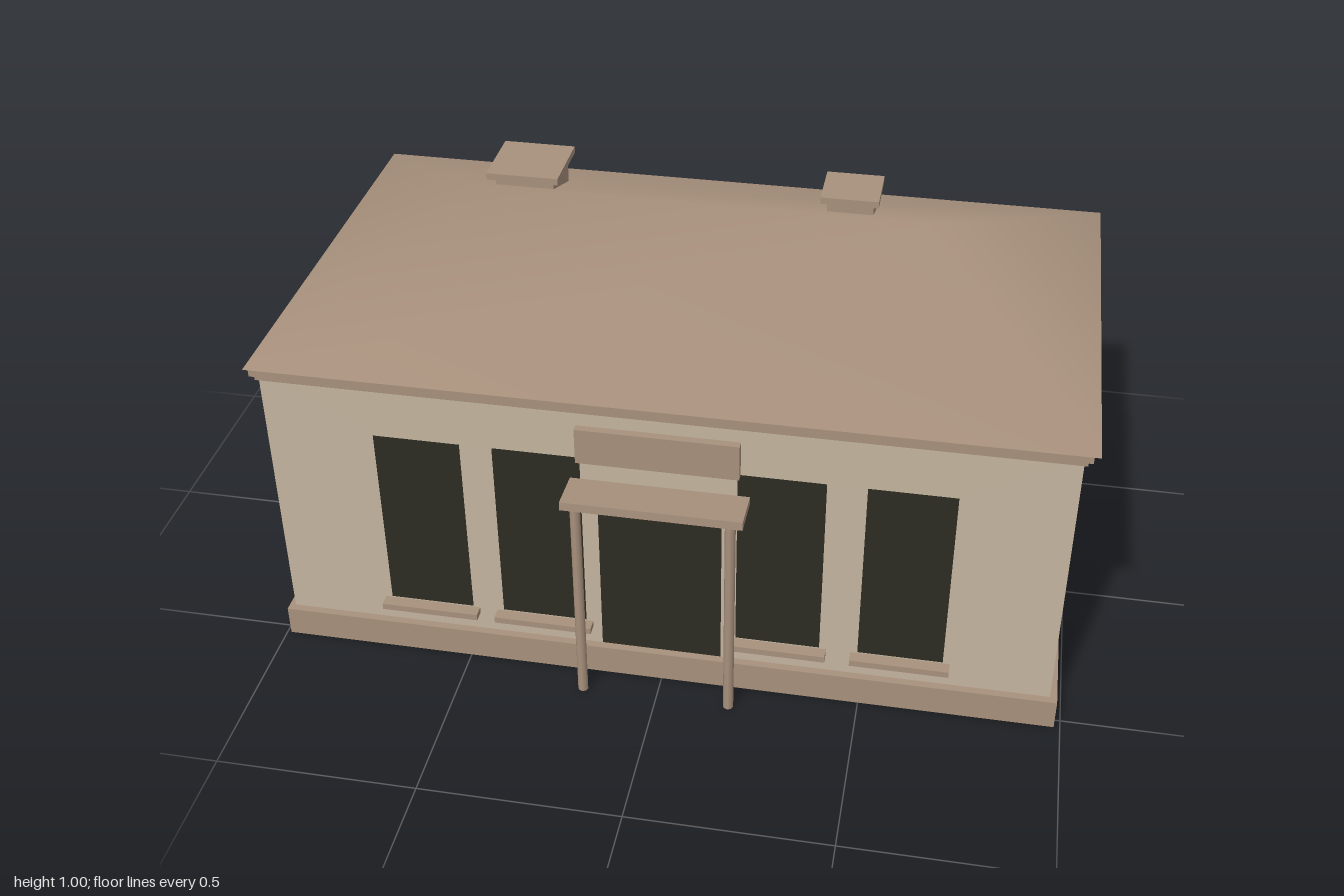
import * as THREE from 'three';

const mat = (name, color, side = THREE.FrontSide) => {
  const m = new THREE.MeshStandardMaterial({ color, side });
  m.name = name;
  return m;
};

export function createModel() {
  const house = new THREE.Group();
  house.name = 'house';
  const plaster = mat('plaster', 0xc4b59f, THREE.DoubleSide);
  const stone = mat('brownStone', 0xa8917d, THREE.DoubleSide);
  const glass = mat('darkGlass', 0x2d2c22, THREE.DoubleSide);

  const add = (name, geometry, material) => {
    const mesh = new THREE.Mesh(geometry, material);
    mesh.name = name;
    house.add(mesh);
    return mesh;
  };
  // Box given by its extents on each axis
  const box = (name, [x0, x1], [y0, y1], [z0, z1], material = stone) => {
    const mesh = add(name, new THREE.BoxGeometry(x1 - x0, y1 - y0, z1 - z0), material);
    mesh.position.set((x0 + x1) / 2, (y0 + y1) / 2, (z0 + z1) / 2);
    return mesh;
  };
  const rect = (Type, [u0, u1, y0, y1]) => new Type([
    new THREE.Vector2(u0, y0), new THREE.Vector2(u1, y0),
    new THREE.Vector2(u1, y1), new THREE.Vector2(u0, y1),
  ]);
  // Thin wall with openings, optionally glazed; "place" turns u,y into the world
  const wall = (name, span, openings, glazed, place) => {
    const shape = rect(THREE.Shape, [...span, 0.06, 0.8]);
    openings.forEach((o) => shape.holes.push(rect(THREE.Path, o)));
    place(add(name + 'Wall', new THREE.ShapeGeometry(shape), plaster));
    if (!glazed) return;
    openings.forEach((o, i) => {
      place(add(name + 'Pane' + (i + 1), new THREE.ShapeGeometry(rect(THREE.Shape, o)), glass));
    });
  };

  // Walls
  const X0 = -0.975, X1 = 0.967, Z0 = -0.58, Z1 = 0.505;
  const frontWindows = [[-0.705, -0.49], [-0.41, -0.195], [0.185, 0.395], [0.49, 0.7]];
  wall('front', [X0, X1],
    [...frontWindows.map(([a, b]) => [a, b, 0.15, 0.655]), [-0.155, 0.148, 0.08, 0.55]],
    true, (m) => m.position.set(0, 0, Z1));
  wall('back', [-X1, -X0],
    [[-0.7, -0.42], [-0.325, -0.04], [0.055, 0.335], [0.445, 0.718]].map((o) => [...o, 0.135, 0.66]),
    false, (m) => { m.rotation.y = Math.PI; m.position.z = Z0; });
  wall('left', [-Z1, -Z0], [[-0.355, -0.03, 0.15, 0.655], [0.102, 0.425, 0.15, 0.655]],
    false, (m) => { m.rotation.y = Math.PI / 2; m.position.x = X1; });
  wall('right', [Z0, Z1], [[-0.427, -0.1, 0.148, 0.66], [0.025, 0.358, 0.148, 0.66]],
    true, (m) => { m.rotation.y = -Math.PI / 2; m.position.x = X0; });

  // Plinth (its top is the floor) and stepped cornice (its underside is the ceiling)
  box('plinth', [-0.99, 0.985], [0, 0.08], [-0.6, 0.525]);
  box('lowerCornice', [-0.982, 0.975], [0.788, 0.807], [-0.588, 0.513]);
  box('upperCornice', [-0.99, 0.985], [0.805, 0.828], [-0.602, 0.525]);

  // Hipped roof with an off-centre ridge
  const roof = new THREE.BufferGeometry();
  roof.setAttribute('position', new THREE.Float32BufferAttribute([
    -1, 0.828, 0.533, 1, 0.828, 0.533, 1, 0.828, -0.615, -1, 0.828, -0.615,
    -0.645, 0.977, -0.197, 0.56, 0.977, -0.197,
  ], 3));
  roof.setIndex([0, 1, 5, 0, 5, 4, 1, 2, 5, 2, 3, 4, 2, 4, 5, 3, 0, 4]);
  roof.computeVertexNormals();
  add('roof', roof, stone);

  // Chimneys
  box('largeChimneyStack', [-0.583, -0.427], [0.84, 0.986], [-0.392, -0.235]);
  box('largeChimneyCap', [-0.603, -0.411], [0.985, 1.003], [-0.41, -0.217]);
  box('smallChimneyStack', [0.29, 0.41], [0.85, 0.986], [-0.37, -0.255]);
  box('smallChimneyCap', [0.274, 0.424], [0.985, 1.003], [-0.386, -0.239]);

  // Window sills
  frontWindows.forEach(([a, b], i) => {
    box('windowSill' + (i + 1), [a - 0.017, b + 0.017], [0.13, 0.147], [Z1, 0.536]);
  });

  // Porch: sloping canopy, beam, two round posts, and the panel above
  box('porchCanopy', [-0.22, 0.215], [0.575, 0.597], [0.503, 0.615]).rotation.x = -0.07;
  box('porchBeam', [-0.2, 0.195], [0.567, 0.58], [0.503, 0.52]);
  [-0.188, 0.183].forEach((x, i) => {
    const post = add('porchPost' + (i + 1), new THREE.CylinderGeometry(0.013, 0.013, 0.58, 8), stone);
    post.position.set(x, 0.29, 0.594);
  });
  box('doorPanel', [-0.2, 0.192], [0.655, 0.75], [0.507, 0.527]);

  return house;
}
